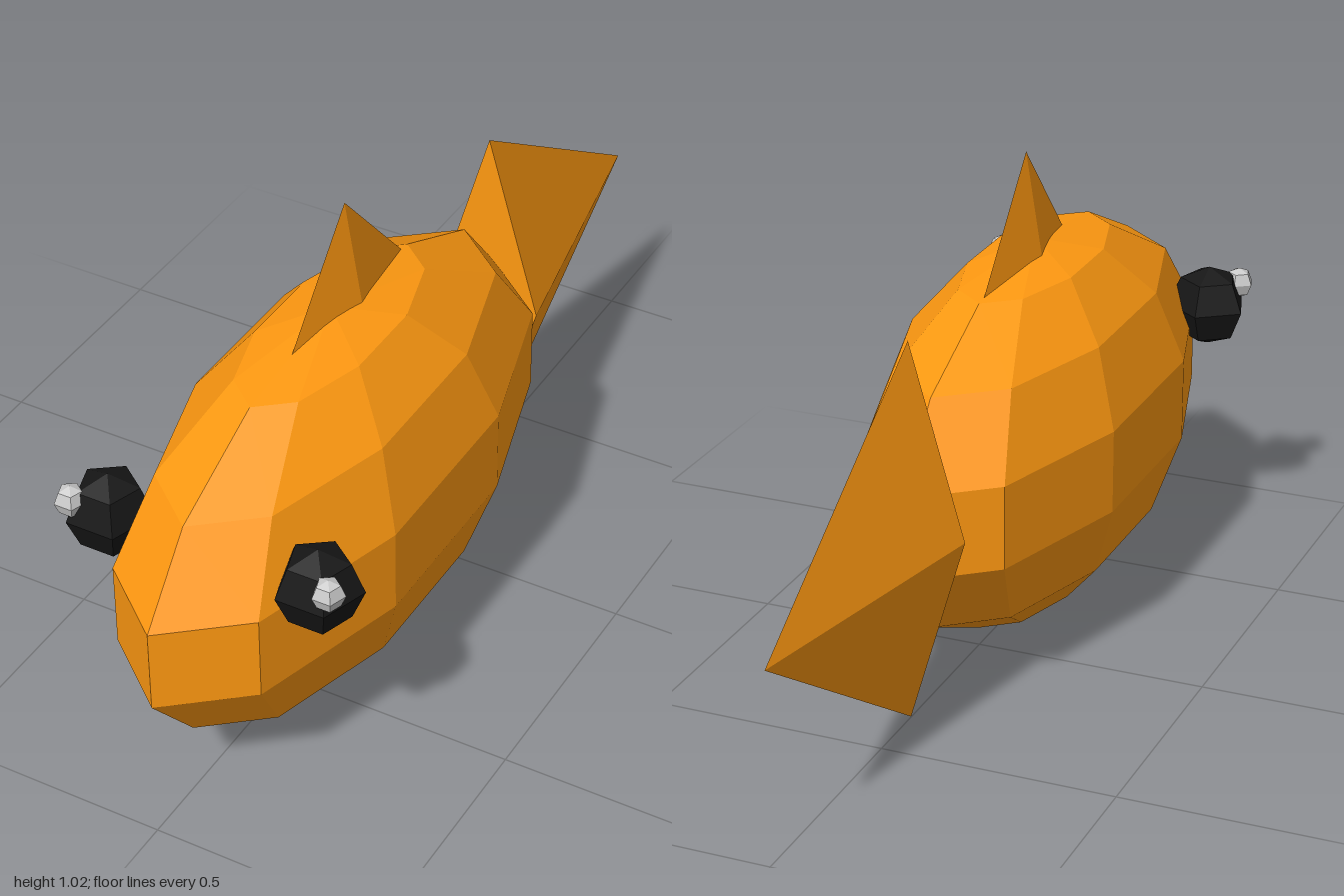
import * as THREE from 'three';

const flat = (color) => new THREE.MeshStandardMaterial({ color, flatShading: true });

// Low-poly ball with a vertex column facing straight back
function ball(name, radius, segs, rings, material) {
  const geometry = new THREE.SphereGeometry(radius, segs, rings).rotateY(-Math.PI / 2);
  const mesh = new THREE.Mesh(geometry, material);
  mesh.name = name;
  return mesh;
}

// Four-sided pyramid with a diamond base of half-sizes a (x) and b (z), base at y = 0
function spike(name, a, b, height, material) {
  const geometry = new THREE.ConeGeometry(1, height, 4);
  geometry.scale(a, 1, b).translate(0, height / 2, 0);
  const mesh = new THREE.Mesh(geometry, material);
  mesh.name = name;
  return mesh;
}

export function createModel() {
  const fish = new THREE.Group();
  fish.name = 'fish';
  const orange = flat(0xff9911);
  const black = flat(0x161616);
  const grey = flat(0xcccccc);

  // Body: faceted ellipsoid, narrow from side to side
  const body = ball('body', 1, 10, 7, orange);
  body.scale.set(0.282, 0.407, 0.707);
  body.position.set(0, 0.41, 0.305);
  fish.add(body);

  // Tail fin: flattened pyramid pointing backwards
  const tail = spike('tailFin', 0.12, 0.41, 0.645, orange);
  tail.rotation.x = -Math.PI / 2;
  tail.position.set(0, 0.414, -0.355);
  fish.add(tail);

  // Dorsal fin: thin pyramid sunk into the back
  const fin = spike('dorsalFin', 0.046, 0.255, 0.28, orange);
  fin.position.set(0, 0.745, 0.247);
  fish.add(fin);

  // Eyes with small highlights, one on each side
  for (const side of [-1, 1]) {
    const label = side > 0 ? 'left' : 'right';
    const eye = ball(label + 'Eye', 0.09, 5, 4, black);
    eye.position.set(side * 0.232, 0.541, 0.76);
    const glint = ball(label + 'EyeHighlight', 0.034, 5, 4, grey);
    glint.position.set(side * 0.284, 0.584, 0.813);
    fish.add(eye, glint);
  }
  return fish;
}
